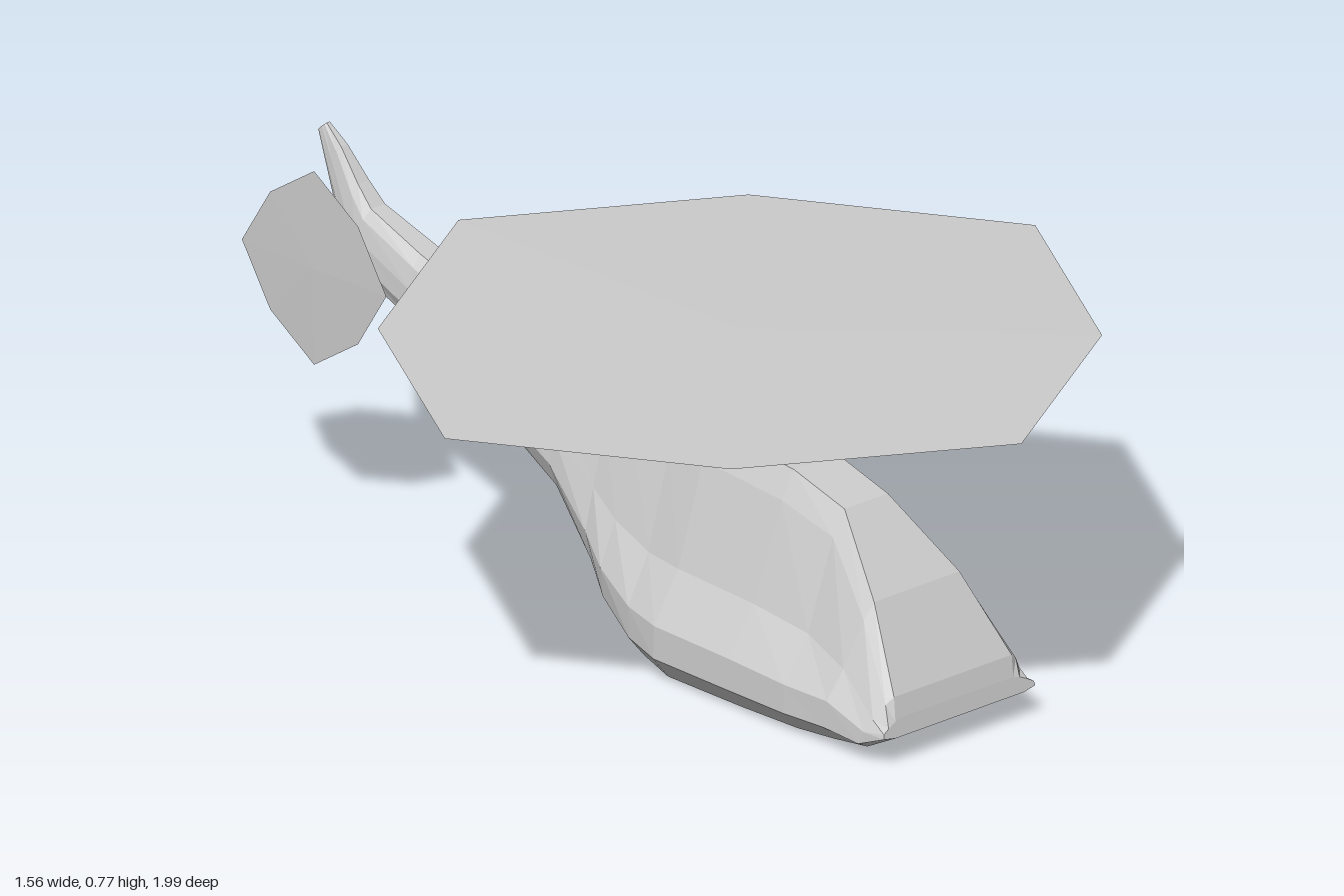
import * as THREE from 'three';

const material = new THREE.MeshStandardMaterial({ color: 0xcccccc, flatShading: true, side: THREE.DoubleSide });

// Half cross-sections from keel to roof: [share of width, share of height]
const SECTIONS = [
  [[0.85, 0], [1, 0.15], [0.99, 0.4], [0.92, 0.62], [0.82, 0.88], [0.74, 1]],    // nose
  [[0.82, 0], [1, 0.1], [0.99, 0.24], [0.7, 0.45], [0.4, 0.88], [0.26, 1]],      // cabin
  [[0.38, 0], [0.8, 0.12], [1, 0.32], [0.95, 0.58], [0.75, 0.86], [0.4, 1]],     // tail
];

// Stations nose to fin: section blend, half width, roof z y, keel z y, centre x
const STATIONS = [
  [0, 0.2, 0.812, 0.09, 0.82, 0.055, 0],
  [0, 0.21, 0.8, 0.13, 0.75, 0.02, 0],
  [0.45, 0.215, 0.7, 0.285, 0.66, 0.01, 0],
  [1, 0.22, 0.56, 0.42, 0.56, 0.002, 0],
  [1, 0.22, 0.42, 0.46, 0.4, 0, 0],
  [1, 0.22, 0.2, 0.48, 0.2, 0.002, 0],
  [1.05, 0.2, 0.1, 0.465, 0.11, 0.015, 0],
  [1.25, 0.17, 0, 0.46, 0, 0.06, 0],
  [1.5, 0.14, -0.08, 0.465, -0.07, 0.11, 0],
  [1.85, 0.11, -0.2, 0.48, -0.2, 0.225, -0.003],
  [2, 0.085, -0.44, 0.53, -0.42, 0.34, -0.008],
  [2, 0.062, -0.64, 0.585, -0.62, 0.43, -0.01],
  [2, 0.047, -0.78, 0.635, -0.82, 0.5, -0.012],
  [2, 0.037, -0.82, 0.675, -0.845, 0.53, -0.013],
  [2, 0.022, -0.87, 0.735, -0.895, 0.65, -0.015],
  [2, 0.01, -0.915, 0.77, -0.937, 0.75, -0.015],
];

function ring([k, width, zTop, yTop, zLow, yLow, cx]) {
  const i = Math.min(Math.floor(k), 1);
  const half = SECTIONS[i].map(([w, h], j) => {
    const [w2, h2] = SECTIONS[i + 1][j];
    const t = THREE.MathUtils.lerp(h, h2, k - i);
    return [width * THREE.MathUtils.lerp(w, w2, k - i), yLow + (yTop - yLow) * t, zLow + (zTop - zLow) * t];
  });
  const right = half.map(([x, y, z]) => [cx + x, y, z]);
  const left = half.map(([x, y, z]) => [cx - x, y, z]).reverse();
  return [...right, ...left];
}

function loft(rings) {
  const n = rings[0].length;
  const index = [];
  for (let i = 0; i < rings.length - 1; i++) {
    for (let j = 0; j < n; j++) {
      const a = i * n + j, b = i * n + (j + 1) % n;
      index.push(a, a + n, b, b, a + n, b + n);
    }
  }
  // End caps
  const last = (rings.length - 1) * n;
  for (let j = 1; j < n - 1; j++) {
    index.push(0, j, j + 1, last, last + j + 1, last + j);
  }
  const geometry = new THREE.BufferGeometry();
  geometry.setAttribute('position', new THREE.Float32BufferAttribute(rings.flat(2), 3));
  geometry.setIndex(index);
  geometry.computeVertexNormals();
  return geometry;
}

// Eight-sided turned shape whose diagonal corners are pulled inward
function octagon(points, diagonal) {
  const geometry = new THREE.LatheGeometry(points.map(([r, y]) => new THREE.Vector2(r, y)), 8);
  const p = geometry.attributes.position;
  for (let i = 0; i < p.count; i++) {
    const x = p.getX(i), z = p.getZ(i);
    if (Math.min(Math.abs(x), Math.abs(z)) > 0.001) p.setXYZ(i, x * diagonal, p.getY(i), z * diagonal);
  }
  geometry.computeVertexNormals();
  return geometry;
}

export function createModel() {
  const model = new THREE.Group();
  const add = (name, geometry) => {
    const mesh = new THREE.Mesh(geometry, material);
    mesh.name = name;
    model.add(mesh);
    return mesh;
  };

  // Cabin, tail boom and fin in one skin
  add('fuselage', loft(STATIONS.map(ring)));

  // Fairing under the main rotor
  const mast = add('mast', octagon([[0.115, 0.44], [0.1, 0.475], [0.055, 0.537]], 1));
  mast.scale.x = 0.8;
  mast.position.z = 0.21;

  // Main rotor: shallow cone below a flat top
  const rotor = add('mainRotor', octagon([[0, 0.535], [0.055, 0.535], [0.19, 0.602], [0.49, 0.642], [0.78, 0.666], [0, 0.673]], 0.888));
  rotor.position.z = 0.21;

  // Tail rotor on the right side of the boom
  const tailRotor = add('tailRotor', octagon([[0.06, 0.03], [0.032, 0.085], [0.032, 0.11], [0.06, 0.142], [0.2, 0.165], [0, 0.168]], 0.86));
  tailRotor.rotation.z = Math.PI / 2;
  tailRotor.position.set(0, 0.546, -0.797);

  return model;
}
